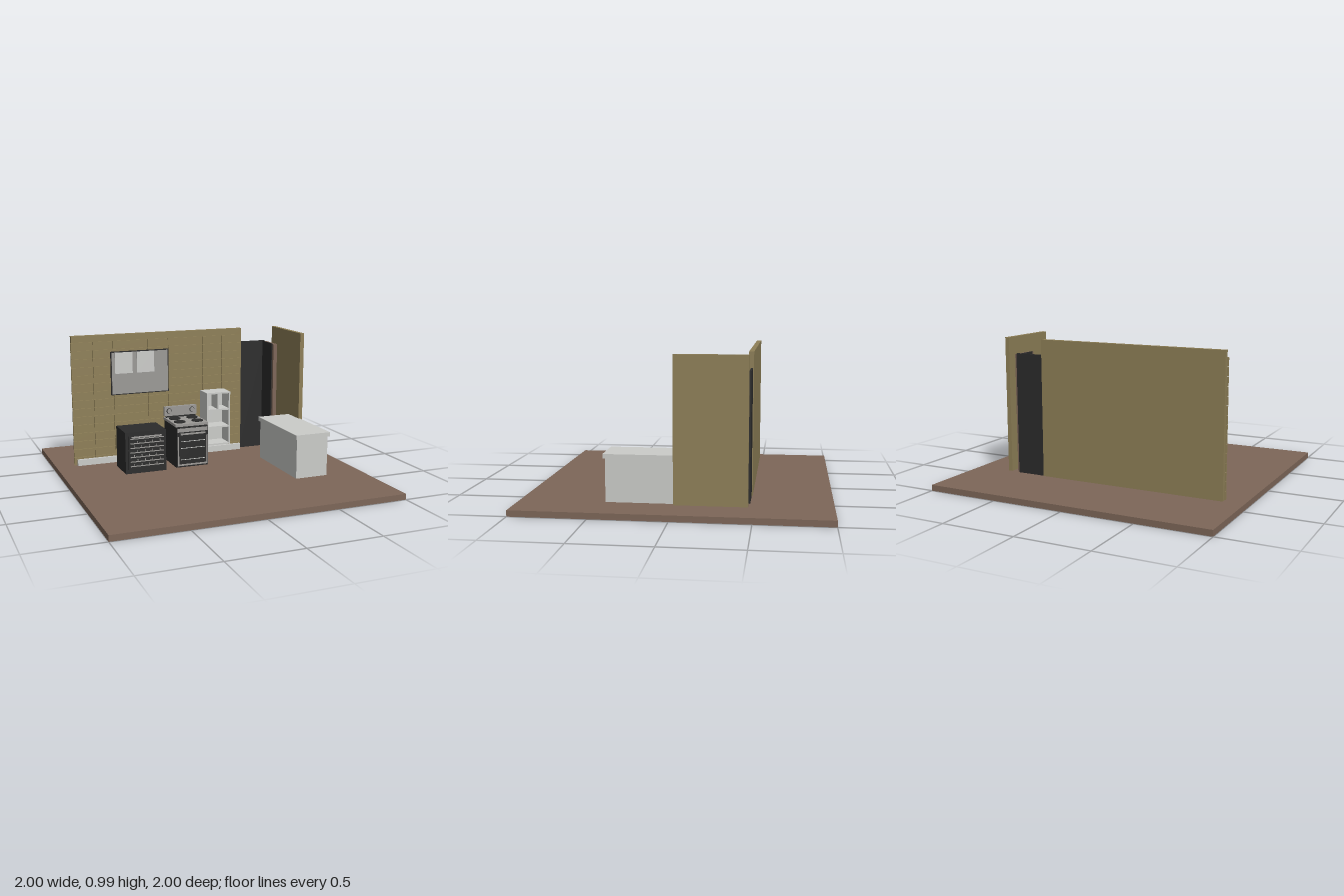
import * as THREE from 'three';

const mat = (name, color) => {
  const m = new THREE.MeshStandardMaterial({ color });
  m.name = name;
  return m;
};

export function createModel() {
  const root = new THREE.Group();
  root.name = 'kitchen';
  const floorBrown = mat('floorBrown', 0x7d6658);
  const wallOchre = mat('wallOchre', 0x8e7f57);
  const black = mat('applianceBlack', 0x2b2b2b);
  const white = mat('cabinetWhite', 0xcbccc9);
  const grey = mat('steelGrey', 0x9b9996);

  const group = (name) => {
    const g = new THREE.Group();
    g.name = name;
    root.add(g);
    return g;
  };
  // Box given by its limits on each axis
  const box = (parent, name, m, x0, x1, y0, y1, z0, z1) => {
    const mesh = new THREE.Mesh(new THREE.BoxGeometry(x1 - x0, y1 - y0, z1 - z0), m);
    mesh.position.set((x0 + x1) / 2, (y0 + y1) / 2, (z0 + z1) / 2);
    mesh.name = name;
    parent.add(mesh);
    return mesh;
  };
  const disc = (parent, name, m, r, h, x, y, z, facesFront) => {
    const mesh = new THREE.Mesh(new THREE.CylinderGeometry(r, r, h, 24), m);
    mesh.position.set(x, y, z);
    if (facesFront) mesh.rotation.x = Math.PI / 2;
    mesh.name = name;
    parent.add(mesh);
  };

  box(root, 'floor', floorBrown, -1, 1, 0, 0.04, -1, 1);

  // Back wall with plank panelling and skirting board
  const wall = group('backWall');
  box(wall, 'wallSlab', wallOchre, -0.86, 0.455, 0.04, 0.985, -0.48, -0.447);
  const seams = [-0.87, -0.71, -0.56, -0.3, -0.14, 0.13, 0.29, 0.445];
  const rows = 15, rowHeight = 0.06;
  for (let c = 0; c < seams.length - 1; c++) {
    for (let r = 0; r < rows; r++) {
      const y = 0.04 + r * rowHeight;
      box(wall, 'plank', wallOchre, seams[c] + 0.003, seams[c + 1] - 0.003,
        y + 0.002, y + rowHeight - 0.002, -0.45, -0.437);
    }
  }
  box(wall, 'skirting', white, -0.845, 0.44, 0.04, 0.085, -0.437, -0.416);

  box(root, 'sideWall', wallOchre, 0.725, 0.755, 0.04, 0.985, -0.465, 0.005);

  // Window with two pale panes
  const win = group('window');
  box(win, 'windowFrame', black, -0.58, -0.14, 0.543, 0.862, -0.44, -0.427);
  box(win, 'windowGlass', grey, -0.573, -0.147, 0.55, 0.855, -0.43, -0.424);
  for (const x of [-0.55, -0.385]) {
    box(win, 'palePane', white, x, x + 0.132, 0.7, 0.855, -0.425, -0.421);
  }

  // Bottle cooler
  const cooler = group('cooler');
  box(cooler, 'coolerBody', black, -0.58, -0.28, 0.04, 0.34, -0.32, -0.09);
  box(cooler, 'coolerDoor', black, -0.56, -0.3, 0.07, 0.315, -0.09, -0.078);
  box(cooler, 'coolerHandle', grey, -0.54, -0.32, 0.304, 0.311, -0.078, -0.062);
  for (let r = 0; r < 7; r++) {
    const y = 0.096 + r * 0.033;
    box(cooler, 'rackRail', grey, -0.548, -0.302, y - 0.003, y + 0.003, -0.079, -0.073);
    for (let i = 0; i < 4 && r < 6; i++) {
      const x = -0.52 + i * 0.055 + (r % 2) * 0.025;
      box(cooler, 'rackPost', grey, x - 0.002, x + 0.002, y, y + 0.018, -0.079, -0.074);
    }
  }

  // Cooker
  const cooker = group('cooker');
  box(cooker, 'cookerBody', black, -0.195, 0.045, 0.04, 0.345, -0.37, -0.112);
  box(cooker, 'cooktop', grey, -0.2, 0.05, 0.342, 0.36, -0.375, -0.108);
  box(cooker, 'backPanel', grey, -0.2, 0.05, 0.37, 0.44, -0.378, -0.35);
  box(cooker, 'backPanelBase', black, -0.19, 0.04, 0.36, 0.37, -0.37, -0.344);
  for (const x of [-0.165, 0.015]) {
    disc(cooker, 'knobRing', black, 0.02, 0.006, x, 0.408, -0.35, true);
    disc(cooker, 'knob', grey, 0.016, 0.014, x, 0.408, -0.345, true);
  }
  for (const x of [-0.143, -0.008]) {
    for (const z of [-0.29, -0.18]) disc(cooker, 'burner', black, 0.042, 0.008, x, 0.362, z);
  }
  box(cooker, 'ovenDoor', black, -0.195, 0.045, 0.05, 0.335, -0.112, -0.097);
  box(cooker, 'controlStrip', grey, -0.19, 0.04, 0.304, 0.332, -0.098, -0.095);
  box(cooker, 'ovenHandle', grey, -0.17, 0.02, 0.286, 0.295, -0.097, -0.082);
  for (const x of [-0.19, 0.03]) {
    box(cooker, 'doorTrimSide', grey, x, x + 0.01, 0.055, 0.272, -0.098, -0.094);
  }
  box(cooker, 'doorTrimBottom', grey, -0.19, 0.04, 0.055, 0.067, -0.098, -0.094);
  for (const y of [0.235, 0.185, 0.1]) {
    box(cooker, 'ovenRack', white, -0.165, 0.018, y - 0.002, y + 0.002, -0.098, -0.094);
  }

  // Open shelf unit hung on the wall
  const shelf = group('shelfUnit');
  box(shelf, 'shelfBack', white, 0.115, 0.305, 0.125, 0.53, -0.44, -0.428);
  for (const x of [0.115, 0.293]) {
    box(shelf, 'shelfSide', white, x, x + 0.012, 0.125, 0.53, -0.428, -0.3);
  }
  for (const y of [0.125, 0.259, 0.391, 0.518]) {
    box(shelf, 'shelfBoard', white, 0.127, 0.293, y, y + 0.012, -0.428, -0.3);
  }
  box(shelf, 'shelfDivider', white, 0.203, 0.215, 0.403, 0.518, -0.428, -0.3);

  // Dark panel and door in the corner
  const door = group('doorway');
  box(door, 'doorPanel', black, 0.455, 0.66, 0.04, 0.88, -0.474, -0.46);
  box(door, 'openDoor', floorBrown, 0.65, 0.68, 0.04, 0.872, -0.46, -0.28);
  box(door, 'openDoorFace', black, 0.643, 0.65, 0.04, 0.876, -0.46, -0.3);

  // Counter
  const counter = group('counter');
  box(counter, 'counterBase', white, 0.485, 0.724, 0.04, 0.322, -0.145, 0.442);
  box(counter, 'counterTop', white, 0.473, 0.735, 0.322, 0.352, -0.155, 0.455);

  return root;
}
